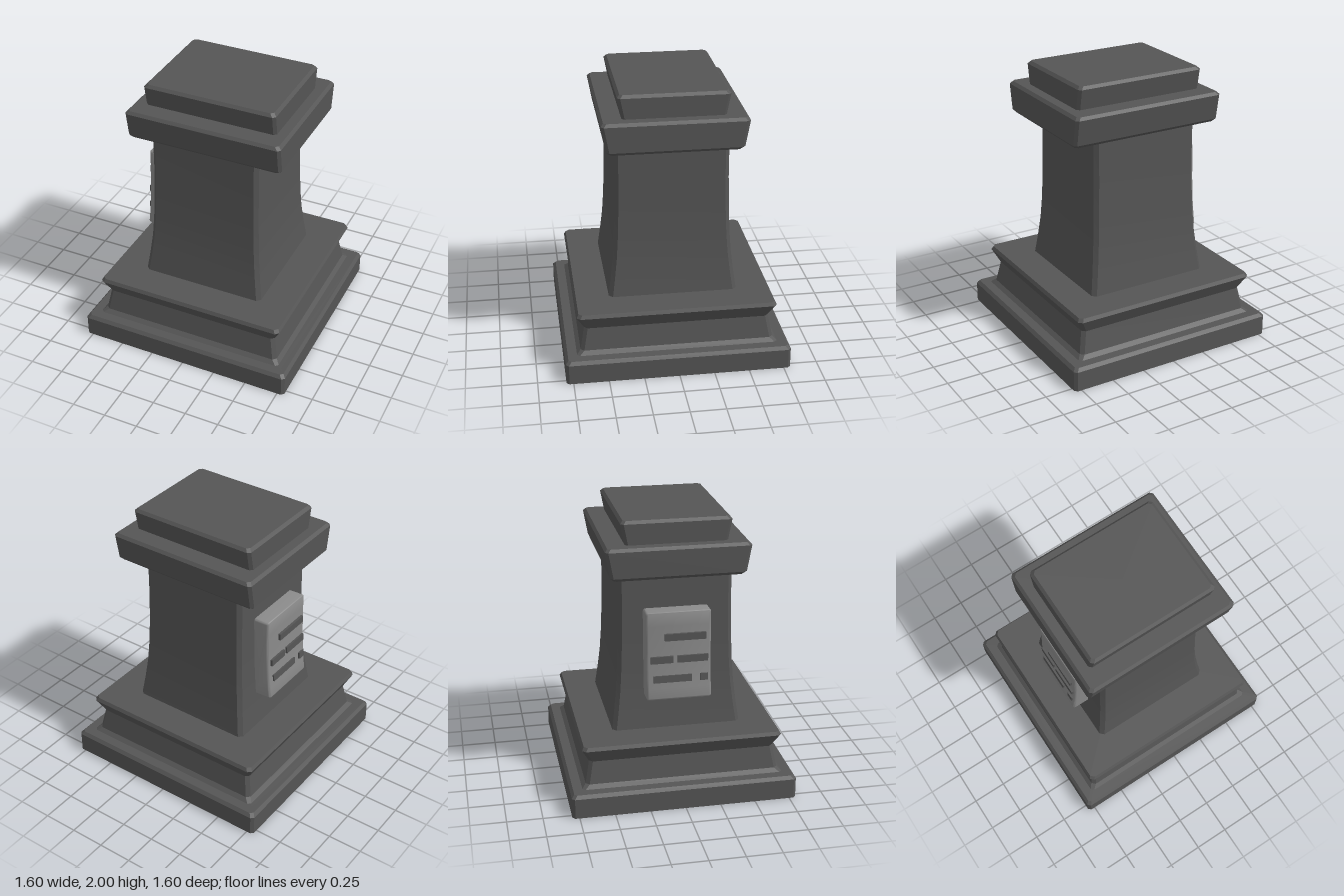
import * as THREE from 'three';
import { toCreasedNormals } from 'three/addons/utils/BufferGeometryUtils.js';

// Stack of bevelled-corner rectangles; each ring is [y, halfX, halfZ, cornerBevel]
function loft(rings, top = false, bottom = false) {
  const pos = [];
  const loops = rings.map(([y, x, z, b]) => [
    [x, z - b], [x - b, z], [b - x, z], [-x, z - b],
    [-x, b - z], [b - x, -z], [x - b, -z], [x, b - z],
  ].map(([px, pz]) => [px, y, pz]));
  const tri = (a, b, c) => pos.push(...a, ...b, ...c);
  for (let i = 0; i + 1 < loops.length; i++) {
    for (let j = 0; j < 8; j++) {
      const k = (j + 1) % 8;
      tri(loops[i][j], loops[i + 1][j], loops[i + 1][k]);
      tri(loops[i][j], loops[i + 1][k], loops[i][k]);
    }
  }
  const first = loops[0], last = loops[loops.length - 1];
  for (let j = 0; j < 8; j++) {
    const k = (j + 1) % 8;
    if (top) tri([0, last[0][1], 0], last[k], last[j]);
    if (bottom) tri([0, first[0][1], 0], first[j], first[k]);
  }
  const g = new THREE.BufferGeometry();
  g.setAttribute('position', new THREE.Float32BufferAttribute(pos, 3));
  return toCreasedNormals(g, 0.4);
}

export function createModel() {
  const group = new THREE.Group();
  const stone = new THREE.MeshStandardMaterial({ color: 0x555555, side: THREE.DoubleSide });
  stone.name = 'dark stone';
  const metal = new THREE.MeshStandardMaterial({ color: 0x8a8a8a });
  metal.name = 'grey plate';

  const add = (name, geometry, material, x = 0, y = 0, z = 0) => {
    const mesh = new THREE.Mesh(geometry, material);
    mesh.name = name;
    mesh.position.set(x, y, z);
    group.add(mesh);
    return mesh;
  };

  // Hollow base, open underneath: plinth, waisted moulding and upper ledge
  const square = ([y, r, b]) => [y, r, r, b];
  add('base', loft([
    [0, 0.8, 0.02], [0.145, 0.8, 0.02], [0.168, 0.78, 0.02], [0.17, 0.715, 0.02],
    [0.195, 0.687, 0.025], [0.355, 0.657, 0.025], [0.455, 0.708, 0.025], [0.48, 0.695, 0.025],
  ].map(square), true), stone);

  // Shaft flaring towards the foot
  add('shaft', loft([
    [0.48, 0.46, 0.028], [0.62, 0.441, 0.028], [0.77, 0.424, 0.028], [0.92, 0.414, 0.028],
    [1.1, 0.407, 0.028], [1.33, 0.402, 0.028], [1.63, 0.402, 0.028],
  ].map(square)), stone);

  // Cap slabs, tapered front to back and set slightly to one side
  add('lowerCap', loft([
    [1.61, 0.553, 0.45, 0.02], [1.632, 0.573, 0.47, 0.02],
    [1.815, 0.573, 0.503, 0.02], [1.835, 0.553, 0.485, 0.02],
  ], true, true), stone, 0.025);
  add('upperCap', loft([
    [1.83, 0.485, 0.355, 0.02], [1.98, 0.485, 0.384, 0.02], [2, 0.465, 0.366, 0.02],
  ], true, true), stone, 0.025);

  // Plaque with a curved outer face, on the model's right side
  const bevel = 0.018;
  const profile = new THREE.Shape();
  profile.moveTo(-0.38, 0.722);
  profile.lineTo(-0.38, 1.362);
  profile.lineTo(-0.505, 1.365);
  profile.quadraticCurveTo(-0.518, 1.365, -0.518, 1.35);
  profile.bezierCurveTo(-0.518, 1.12, -0.525, 0.93, -0.549, 0.745);
  profile.quadraticCurveTo(-0.55, 0.728, -0.535, 0.726);
  profile.closePath();
  const plate = new THREE.ExtrudeGeometry(profile, {
    depth: 0.46 - 2 * bevel, curveSegments: 8,
    bevelThickness: bevel, bevelSize: bevel, bevelOffset: -bevel, bevelSegments: 3,
  });
  plate.translate(0, 0, bevel - 0.23);
  add('plaque', toCreasedNormals(plate, 0.7), metal);

  // Raised bars on the plaque: [zStart, zEnd, y, outerX, tilt]
  for (const [z0, z1, y, x, tilt] of [
    [-0.1, 0.19, 1.185, -0.538, -0.01],
    [-0.2, -0.04, 1.022, -0.54, -0.05], [-0.01, 0.205, 1.022, -0.54, -0.05],
    [-0.18, 0.09, 0.88, -0.546, -0.1], [0.15, 0.205, 0.88, -0.546, -0.1],
  ]) {
    const bar = add('plaqueBar', new THREE.BoxGeometry(0.04, 0.05, z1 - z0), stone, x + 0.02, y, (z0 + z1) / 2);
    bar.rotation.z = tilt;
  }
  return group;
}
